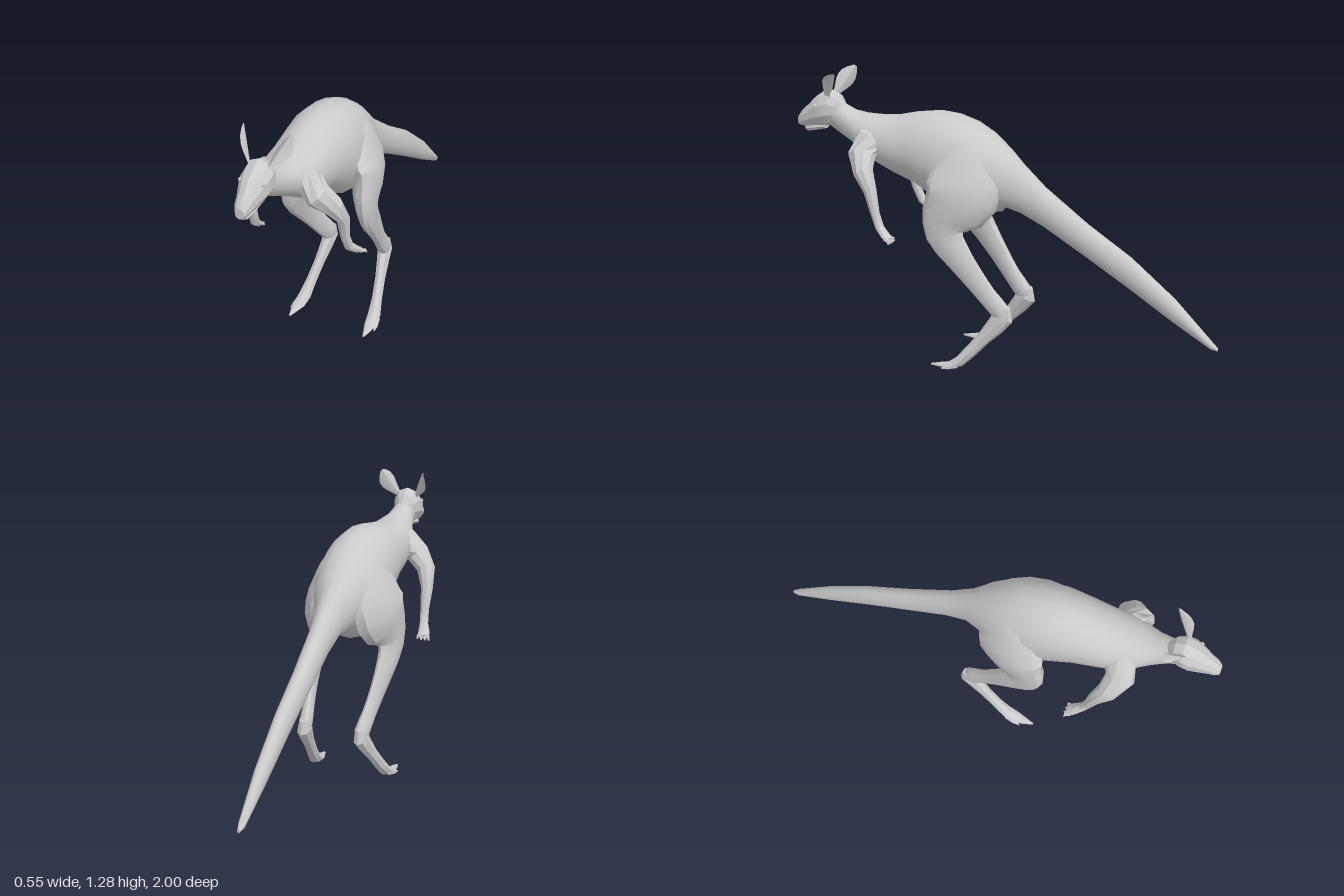
import * as THREE from 'three';
import { toCreasedNormals } from 'three/addons/utils/BufferGeometryUtils.js';

const grey = new THREE.MeshStandardMaterial({ color: 0xcccccc });
const thin = new THREE.MeshStandardMaterial({ color: 0xcccccc, side: THREE.DoubleSide });

function part(name, geometry, material = grey) {
  const mesh = new THREE.Mesh(geometry, material);
  mesh.name = name;
  return mesh;
}

// Closed skin through elliptical rings [x, y, z, half width, half depth].
// Rings follow the path, or face the fixed direction when one is given;
// turn swings the rings' width axis forward or back.
function loft(rows, { sides = 10, steps = 1, crease = 0.45, fixed = null, turn = 0 } = {}) {
  const smooth = (f) => new THREE.CatmullRomCurve3(rows.map(f), false, 'catmullrom', 0.5);
  const path = smooth((r) => new THREE.Vector3(r[0], r[1], r[2]));
  const size = smooth((r) => new THREE.Vector3(r[3], r[4], 0));
  const n = (rows.length - 1) * steps;
  const pos = [], idx = [];
  for (let i = 0; i <= n; i++) {
    const c = path.getPoint(i / n), s = size.getPoint(i / n);
    const t = fixed || path.getTangent(i / n);
    const side = new THREE.Vector3(1, 0, turn);
    side.addScaledVector(t, -side.dot(t)).normalize();
    const up = new THREE.Vector3().crossVectors(t, side);
    for (let j = 0; j < sides; j++) {
      const a = (j / sides) * Math.PI * 2 + Math.PI / 2;
      const p = c.clone().addScaledVector(side, Math.cos(a) * s.x).addScaledVector(up, Math.sin(a) * s.y);
      pos.push(p.x, p.y, p.z);
      if (i < n) {
        const k = (j + 1) % sides, b = i * sides;
        idx.push(b + j, b + k, b + sides + k, b + j, b + sides + k, b + sides + j);
      }
    }
  }
  // End caps
  const first = pos.length / 3;
  pos.push(...path.getPoint(0).toArray(), ...path.getPoint(1).toArray());
  for (let j = 0; j < sides; j++) {
    const k = (j + 1) % sides;
    idx.push(first, k, j, first + 1, n * sides + j, n * sides + k);
  }
  const g = new THREE.BufferGeometry();
  g.setAttribute('position', new THREE.Float32BufferAttribute(pos, 3));
  g.setIndex(idx);
  return toCreasedNormals(g, crease);
}

// Upright sections [z, top, bottom, half width] along the spine
const spine = (rows, opts) => loft(
  rows.map(([z, top, bottom, w]) => [0, (top + bottom) / 2, z, w, (top - bottom) / 2]),
  { fixed: new THREE.Vector3(0, 0, 1), ...opts });

const mirror = (rows, s) => rows.map(([x, ...rest]) => [x * s, ...rest]);

const BODY = [
  [-1, 0.217, 0.202, 0.006], [-0.97, 0.245, 0.207, 0.016], [-0.8, 0.415, 0.305, 0.029],
  [-0.6, 0.575, 0.43, 0.037], [-0.4, 0.7, 0.55, 0.044], [-0.2, 0.845, 0.665, 0.051],
  [-0.1, 0.935, 0.712, 0.066], [-0.03, 1.0, 0.735, 0.105], [0.05, 1.065, 0.69, 0.14],
  [0.13, 1.11, 0.655, 0.157], [0.22, 1.135, 0.685, 0.163], [0.3, 1.14, 0.74, 0.158],
  [0.4, 1.125, 0.8, 0.144], [0.5, 1.1, 0.835, 0.133], [0.58, 1.09, 0.87, 0.125],
  [0.66, 1.09, 0.92, 0.1], [0.72, 1.1, 0.955, 0.072], [0.78, 1.13, 0.985, 0.052],
  [0.83, 1.155, 1.015, 0.048]];

const HEAD = [
  [0.76, 1.12, 1.04, 0.025], [0.79, 1.165, 1.03, 0.05], [0.83, 1.185, 1.02, 0.065],
  [0.87, 1.172, 1.01, 0.066], [0.91, 1.145, 1.005, 0.054], [0.95, 1.105, 1.0, 0.04],
  [0.98, 1.078, 1.0, 0.033], [1.0, 1.05, 1.004, 0.02]];

const LEG = [
  [0.07, 1.04, 0.12, 0.03, 0.05], [0.085, 0.985, 0.12, 0.05, 0.11], [0.11, 0.9, 0.125, 0.065, 0.148],
  [0.14, 0.8, 0.135, 0.072, 0.165], [0.16, 0.7, 0.192, 0.055, 0.118], [0.172, 0.625, 0.2, 0.041, 0.085],
  [0.17, 0.54, 0.145, 0.033, 0.065], [0.16, 0.45, 0.078, 0.026, 0.052], [0.147, 0.36, 0.01, 0.025, 0.044],
  [0.137, 0.29, -0.05, 0.031, 0.043], [0.137, 0.25, -0.065, 0.02, 0.025]];

const FOOT = [
  [0.136, 0.315, -0.075, 0.02, 0.02], [0.137, 0.27, -0.063, 0.032, 0.048], [0.143, 0.225, -0.03, 0.027, 0.042],
  [0.154, 0.16, 0.025, 0.023, 0.031], [0.166, 0.09, 0.085, 0.024, 0.028], [0.175, 0.037, 0.135, 0.03, 0.025],
  [0.18, 0.016, 0.185, 0.028, 0.013], [0.183, 0.012, 0.225, 0.018, 0.01], [0.184, 0.008, 0.27, 0.004, 0.004]];

const ARM = [
  [0.04, 1.02, 0.57, 0.03, 0.05], [0.085, 0.99, 0.595, 0.055, 0.075], [0.142, 0.935, 0.615, 0.053, 0.064],
  [0.195, 0.875, 0.58, 0.042, 0.046], [0.216, 0.8, 0.538, 0.028, 0.03], [0.215, 0.7, 0.517, 0.02, 0.021],
  [0.221, 0.64, 0.493, 0.02, 0.02], [0.234, 0.607, 0.457, 0.028, 0.016], [0.24, 0.595, 0.435, 0.026, 0.011]];

// Cupped leaf facing outward, widest above the middle
function ear(s) {
  const g = new THREE.PlaneGeometry(2, 1, 4, 6);
  const p = g.attributes.position;
  for (let i = 0; i < p.count; i++) {
    const u = p.getX(i), v = p.getY(i) + 0.5;
    const w = 0.014 * (1 - v) + 0.031 * Math.sin(Math.PI * Math.pow(v, 1.25)) + 0.007 * v;
    p.setXYZ(i, u * w, v * 0.155, u * u * w * 0.6);
  }
  const y = new THREE.Vector3(0.06 * s, 0.12, -0.07).normalize();
  const z = new THREE.Vector3(0.88 * s, 0.1, 0.42);
  z.addScaledVector(y, -z.dot(y)).normalize();
  const x = new THREE.Vector3().crossVectors(y, z);
  g.applyMatrix4(new THREE.Matrix4().makeBasis(x, y, z).setPosition(0.04 * s, 1.155, 0.83));
  return toCreasedNormals(g, 0.5);
}

export function createModel() {
  const model = new THREE.Group();
  model.name = 'kangaroo';
  model.add(part('bodyAndTail', spine(BODY, { sides: 16, crease: 0.7 })));

  const head = new THREE.Group();
  head.name = 'head';
  head.add(part('skull', spine(HEAD, { crease: 0.4 })));
  head.add(part('lowerJaw', spine([
    [0.86, 1.03, 1.0, 0.03], [0.92, 1.02, 0.985, 0.026], [0.955, 1.01, 0.978, 0.018], [0.97, 1.005, 0.985, 0.008],
  ], { sides: 8 })));
  model.add(head);

  for (const s of [1, -1]) {
    const side = s > 0 ? 'left' : 'right';
    head.add(part(side + 'Ear', ear(s), thin));
    const eye = part(side + 'Eye', new THREE.SphereGeometry(0.01, 8, 6));
    eye.position.set(s * 0.05, 1.112, 0.893);
    head.add(eye);

    // Hind leg with a long foot and a short outer toe
    const leg = new THREE.Group();
    leg.name = side + 'HindLeg';
    leg.add(part('thighAndShin', loft(mirror(LEG, s), { sides: 12, steps: 2, crease: 0.6, turn: -0.25 * s })));
    leg.add(part('foot', loft(mirror(FOOT, s), { sides: 8 })));
    leg.add(part('outerToe', loft(mirror([
      [0.193, 0.025, 0.14, 0.014, 0.014], [0.203, 0.012, 0.18, 0.011, 0.01], [0.209, 0.006, 0.21, 0.003, 0.003],
    ], s), { sides: 6 })));
    model.add(leg);

    // Arm, with fingers fanned out from the paw
    const arm = new THREE.Group();
    arm.name = side + 'Arm';
    arm.add(part('armAndPaw', loft(mirror(ARM, s), { sides: 9 })));
    for (let i = 0; i < 4; i++) {
      const f = i / 3 - 0.5;
      arm.add(part('finger' + (i + 1), loft(mirror([
        [0.238 + f * 0.035, 0.6, 0.452, 0.009, 0.009],
        [0.24 + f * 0.05, 0.594, 0.435 - Math.abs(f) * 0.01, 0.008, 0.008],
        [0.242 + f * 0.058, 0.583, 0.42 + Math.abs(f) * 0.015, 0.004, 0.004],
      ], s), { sides: 5 })));
    }
    model.add(arm);
  }
  return model;
}
